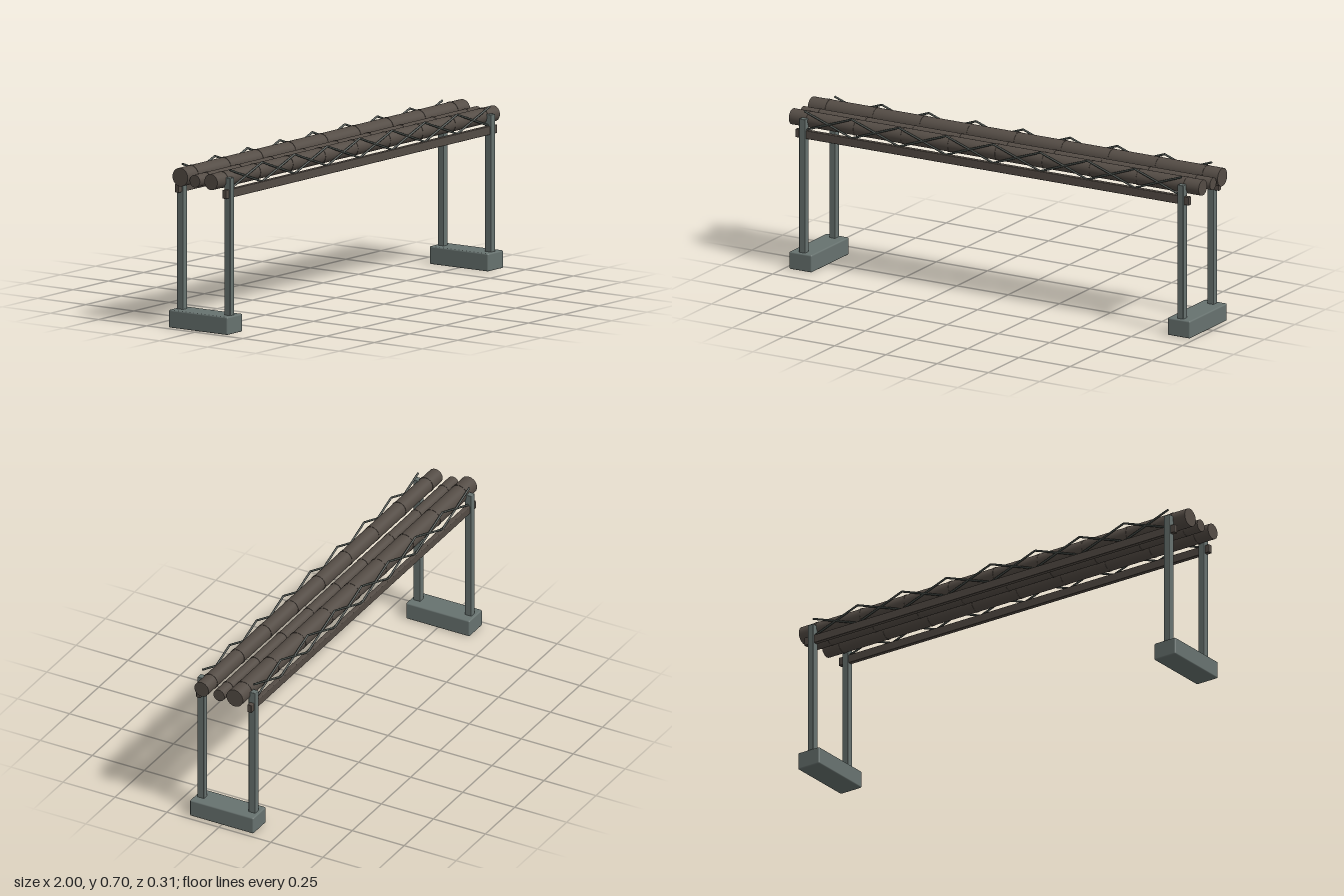
import * as THREE from 'three';
import { RoundedBoxGeometry } from 'three/addons/geometries/RoundedBoxGeometry.js';

export function createModel() {
  const model = new THREE.Group();
  model.name = 'pipeRack';
  const steel = new THREE.MeshStandardMaterial({ name: 'greyGreenSteel', color: 0x67726f });
  const brown = new THREE.MeshStandardMaterial({ name: 'brownPipe', color: 0x544c45 });
  const dark = new THREE.MeshStandardMaterial({ name: 'darkBrace', color: 0x444a46 });

  const add = (name, geometry, material, x, y, z) => {
    const mesh = new THREE.Mesh(geometry, material);
    mesh.name = name;
    mesh.position.set(x, y, z);
    model.add(mesh);
    return mesh;
  };
  const box = (name, w, h, d, bevel, material, x, y, z) =>
    add(name, new RoundedBoxGeometry(w, h, d, 2, bevel), material, x, y, z);

  const bay = 0.23;
  const sideZ = 0.123;

  // Footings and posts at both ends
  for (const sx of [-1, 1]) {
    box('footing', 0.11, 0.076, 0.306, 0.006, steel, sx * 0.923, 0.038, 0);
    for (const sz of [-1, 1]) {
      box('post', 0.03, 0.59, 0.032, 0.003, steel, sx * 0.923, 0.366, sz * sideZ);
    }
  }

  // Rounded brace between two points in the truss plane
  const brace = (x0, y0, x1, y1, z) => {
    const dx = x1 - x0, dy = y1 - y0;
    const bar = add('brace', new THREE.CylinderGeometry(0.0045, 0.0045, Math.hypot(dx, dy), 8),
      dark, (x0 + x1) / 2, (y0 + y1) / 2, z);
    bar.rotation.z = Math.atan2(-dx, dy);
  };

  // Lower rails with crossed bracing in eight bays
  for (const sz of [-1, 1]) {
    const z = sz * sideZ;
    box('sideRail', 1.92, 0.037, 0.02, 0.003, brown, 0, 0.5935, z);
    for (let i = -4; i < 4; i++) {
      brace(i * bay, 0.61, (i + 1) * bay, 0.692, z);
      brace(i * bay, 0.692, (i + 1) * bay, 0.61, z);
    }
  }

  // Three pipes, each with narrow joint bands
  const pipes = [
    { z: 0.084, y: 0.648, r: 0.034 },
    { z: 0, y: 0.643, r: 0.0265 },
    { z: -0.076, y: 0.652, r: 0.0395 },
  ];
  for (const { z, y, r } of pipes) {
    add('pipe', new THREE.CylinderGeometry(r, r, 2, 32), brown, 0, y, z).rotation.z = Math.PI / 2;
    for (let i = -4; i <= 4; i++) {
      add('pipeBand', new THREE.CylinderGeometry(r + 0.0015, r + 0.0015, 0.01, 32),
        brown, i * bay, y, z).rotation.z = Math.PI / 2;
    }
  }
  return model;
}
